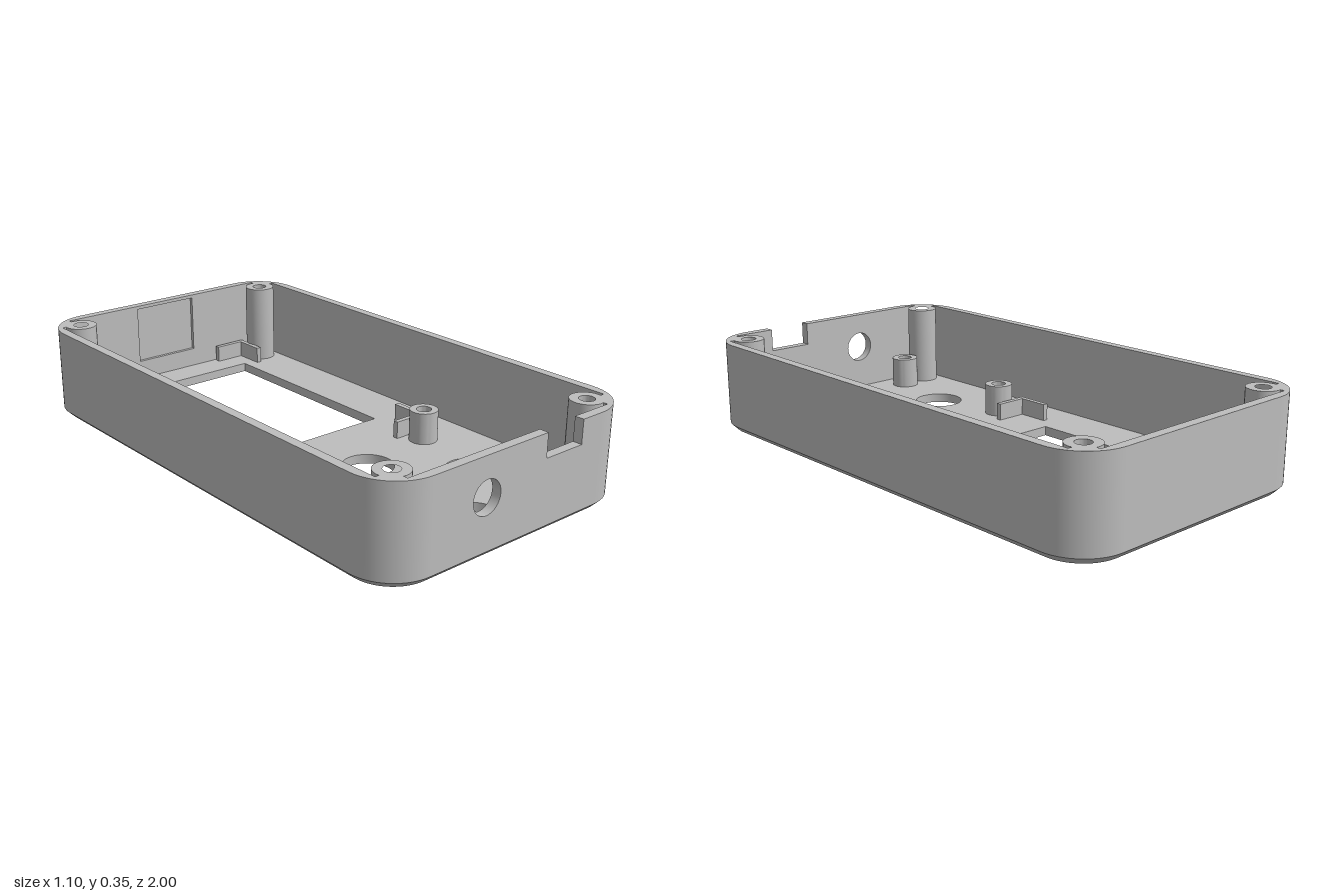
import * as THREE from 'three';
import { toCreasedNormals } from 'three/addons/utils/BufferGeometryUtils.js';

const W = 0.55, L = 1, H = 0.35, R = 0.17; // half width, half length, height, corner radius
const WALL = 0.035, FLOOR = 0.035, CHAMFER = 0.025;
const DEG = Math.PI / 180;

// points on an arc, angles in degrees
function arc(cx, cy, r, a0, a1, n = 14) {
  return Array.from({ length: n + 1 }, (_, i) => {
    const a = (a0 + (a1 - a0) * i / n) * DEG;
    return new THREE.Vector2(cx + r * Math.cos(a), cy + r * Math.sin(a));
  });
}
const circle = (x, y, r) => new THREE.Path().absarc(x, y, r, 0, Math.PI * 2, true);
const rect = (x0, y0, x1, y1) => [[x0, y0], [x1, y0], [x1, y1], [x0, y1]].map(p => new THREE.Vector2(...p));

// rounded rectangle of the case, pulled in by an inset
function outline(inset) {
  const r = R - inset, x = W - R, z = L - R;
  return [...arc(x, z, r, 0, 90), ...arc(-x, z, r, 90, 180), ...arc(-x, -z, r, 180, 270), ...arc(x, -z, r, 270, 360)];
}

export function createModel() {
  const group = new THREE.Group();
  const plastic = new THREE.MeshStandardMaterial({ color: 0xbdbdbd });
  plastic.name = 'grey plastic';

  function add(name, geometry) {
    const mesh = new THREE.Mesh(toCreasedNormals(geometry, 0.6), plastic);
    mesh.name = name;
    group.add(mesh);
  }
  const extrude = (shape, depth) => new THREE.ExtrudeGeometry(shape, { depth, bevelEnabled: false, curveSegments: 20 });
  // plan shape (x, z) raised from y0 to y1
  const slab = (name, shape, y0, y1) => add(name, extrude(shape, y1 - y0).rotateX(Math.PI / 2).translate(0, y1, 0));
  // elevation shape (x, y) running from z0 to z1
  const panel = (name, shape, z0, z1) => add(name, extrude(shape, z1 - z0).translate(0, 0, z0));

  // floor with display window and five button holes
  const floor = new THREE.Shape(outline(CHAMFER));
  floor.holes.push(new THREE.Path(rect(-0.315, -0.84, 0.315, 0)));
  for (const [x, z, r] of [[0, 0.565, 0.106], [0.255, 0.565, 0.094], [-0.255, 0.565, 0.094], [0, 0.31, 0.094], [0, 0.82, 0.094]])
    floor.holes.push(circle(x, z, r));
  slab('floor', floor, 0, FLOOR);

  // chamfer around the bottom edge
  const low = outline(CHAMFER), high = outline(0), n = low.length;
  const positions = [], index = [];
  for (let i = 0; i < n; i++) {
    positions.push(low[i].x, 0, low[i].y, high[i].x, CHAMFER, high[i].y);
    const a = 2 * i, b = 2 * ((i + 1) % n);
    index.push(a, a + 1, b, a + 1, b + 1, b);
  }
  const chamfer = new THREE.BufferGeometry();
  chamfer.setAttribute('position', new THREE.Float32BufferAttribute(positions, 3));
  chamfer.setIndex(index);
  add('bottomChamfer', chamfer);

  // side walls with rounded corners and the corner screw posts grown into them
  const E = 0.37, ix = W - WALL, iz = L - WALL, px = 0.44, pz = 0.89;
  const v = (x, z) => new THREE.Vector2(x, z);
  for (const s of [1, -1]) {
    const pts = [
      v(E, -L), ...arc(W - R, -L + R, R, -90, 0), ...arc(W - R, L - R, R, 0, 90), v(E, L),
      v(E, iz), v(0.45, iz), ...arc(px, pz, 0.06, 80, 370, 28), v(ix, 0.9),
      v(ix, -0.9), ...arc(px, -pz, 0.06, -370, -80, 28), v(0.45, -iz), v(E, -iz),
    ].map(p => v(p.x * s, p.y));
    const wall = new THREE.Shape(pts);
    wall.holes.push(circle(s * px, pz, 0.028), circle(s * px, -pz, 0.028));
    slab(s > 0 ? 'leftWall' : 'rightWall', wall, CHAMFER, H);
  }

  // front wall with a notch in the rim and a round port
  const front = new THREE.Shape([
    v(-E, CHAMFER), v(E, CHAMFER), v(E, H), v(0.285, H), v(0.285, 0.263), v(0.115, 0.263), v(0.115, H), v(-E, H),
  ]);
  front.holes.push(circle(-0.15, 0.21, 0.06));
  panel('frontWall', front, iz, L);

  // back wall with a shallow pocket on its inside
  const pocketZ = -iz - 0.014;
  panel('backWall', new THREE.Shape(rect(-E, CHAMFER, E, H)), -L, pocketZ);
  const inner = new THREE.Shape(rect(-E, CHAMFER, E, H));
  inner.holes.push(new THREE.Path(rect(-0.135, 0.11, 0.135, 0.337)));
  panel('backWallPocket', inner, pocketZ, -iz);

  // short screw posts and L-shaped display brackets, mirrored left and right
  const T = 0.02, A = 0.14;
  for (const s of [1, -1]) {
    for (const z of [0.265, 0.86]) {
      const post = new THREE.Shape().absarc(s * 0.315, z, 0.053, 0, Math.PI * 2, false);
      post.holes.push(circle(s * 0.315, z, 0.028));
      slab('boardPost', post, FLOOR - 0.005, 0.155);
    }
    for (const [z, d] of [[-0.955, 1], [0.2, -1]]) {
      const bracket = [[0, 0], [A, 0], [A, T], [T, T], [T, A], [0, A]].map(([a, b]) => v(s * (0.385 - a), z + d * b));
      slab('displayBracket', new THREE.Shape(bracket), FLOOR - 0.005, 0.1);
    }
  }
  return group;
}
